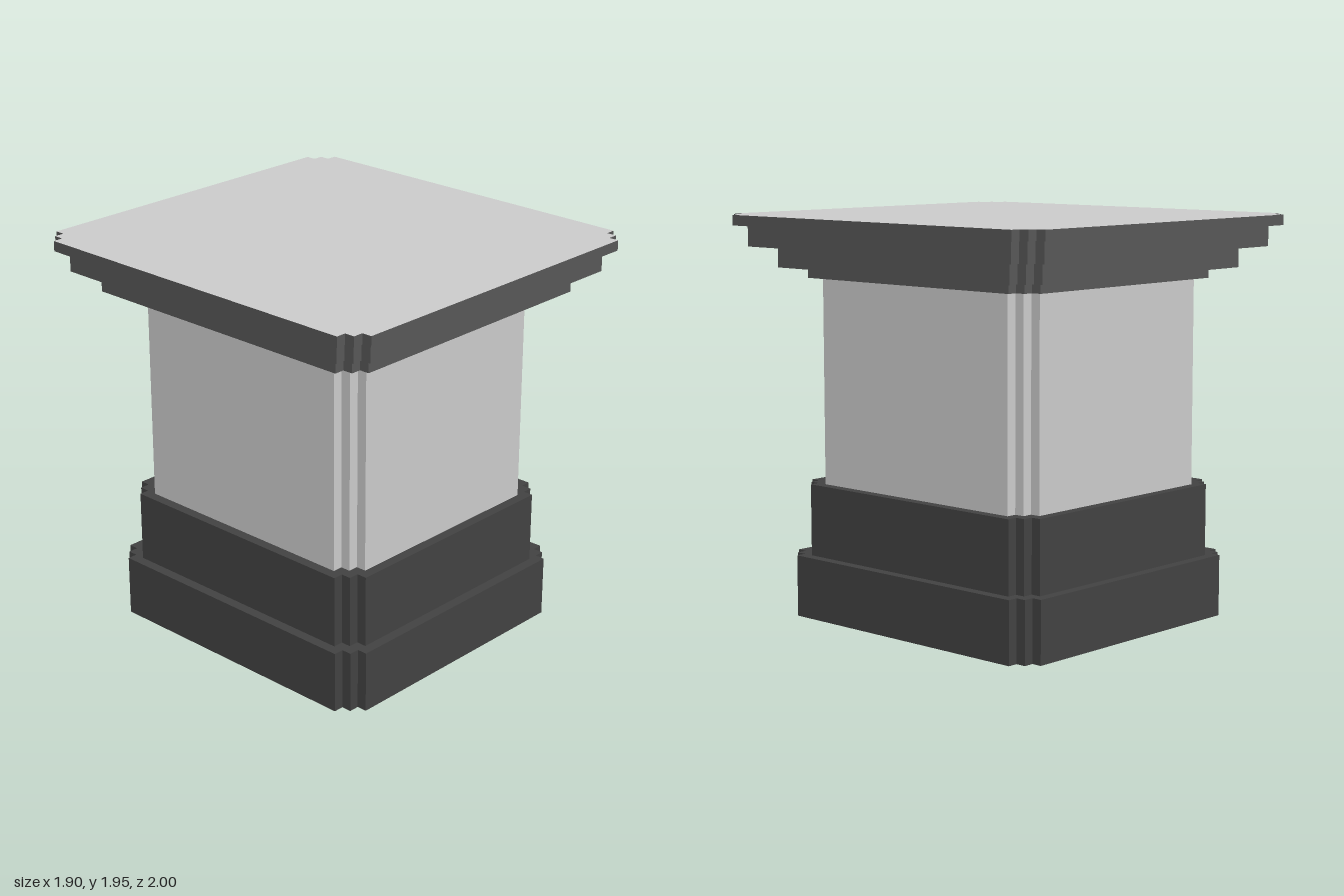
import * as THREE from 'three';

const STEP = 0.05; // size of each corner notch

// Rectangle with two-step notched corners
function notchedShape(hx, hz) {
  const corner = [
    [hx, hz - 2 * STEP], [hx - STEP, hz - 2 * STEP], [hx - STEP, hz - STEP],
    [hx - 2 * STEP, hz - STEP], [hx - 2 * STEP, hz],
  ];
  const points = [];
  for (const [sx, sz] of [[1, 1], [-1, 1], [-1, -1], [1, -1]]) {
    const run = corner.map(([x, z]) => new THREE.Vector2(x * sx, z * sz));
    points.push(...(sx * sz > 0 ? run : run.reverse()));
  }
  return new THREE.Shape(points);
}

// Upright slab from y0 to y1
function slab(name, hx, hz, y0, y1, material) {
  const geometry = new THREE.ExtrudeGeometry(notchedShape(hx, hz), { depth: y1 - y0, bevelEnabled: false });
  geometry.rotateX(-Math.PI / 2).translate(0, y0, 0);
  const mesh = new THREE.Mesh(geometry, material);
  mesh.name = name;
  return mesh;
}

export function createModel() {
  const pale = new THREE.MeshStandardMaterial({ color: 0xcccccc });
  const dark = new THREE.MeshStandardMaterial({ color: 0x424242 });
  const trim = new THREE.MeshStandardMaterial({ color: 0x575757 });

  const model = new THREE.Group();
  model.name = 'pedestal';

  // Stepped base, shaft and widening cornice
  model.add(
    slab('plinth', 0.75, 0.8, 0, 0.3, dark),
    slab('upperPlinth', 0.7, 0.75, 0.3, 0.65, dark),
    slab('shaft', 0.65, 0.7, 0.65, 1.65, pale),
    slab('corniceNeck', 0.7, 0.75, 1.65, 1.7, trim),
    slab('corniceLower', 0.8, 0.85, 1.7, 1.8, trim),
    slab('corniceUpper', 0.9, 0.95, 1.8, 1.9, trim),
  );

  // Cap: dark rim and underside, pale top face
  const cap = slab('cap', 0.95, 1, 1.9, 1.95, [trim, pale]);
  const [lids, rim] = cap.geometry.groups.map((g) => ({ ...g }));
  const half = lids.count / 2;
  cap.geometry.clearGroups();
  cap.geometry.addGroup(lids.start, half, 0);
  cap.geometry.addGroup(lids.start + half, half, 1);
  cap.geometry.addGroup(rim.start, rim.count, 0);
  model.add(cap);

  return model;
}
